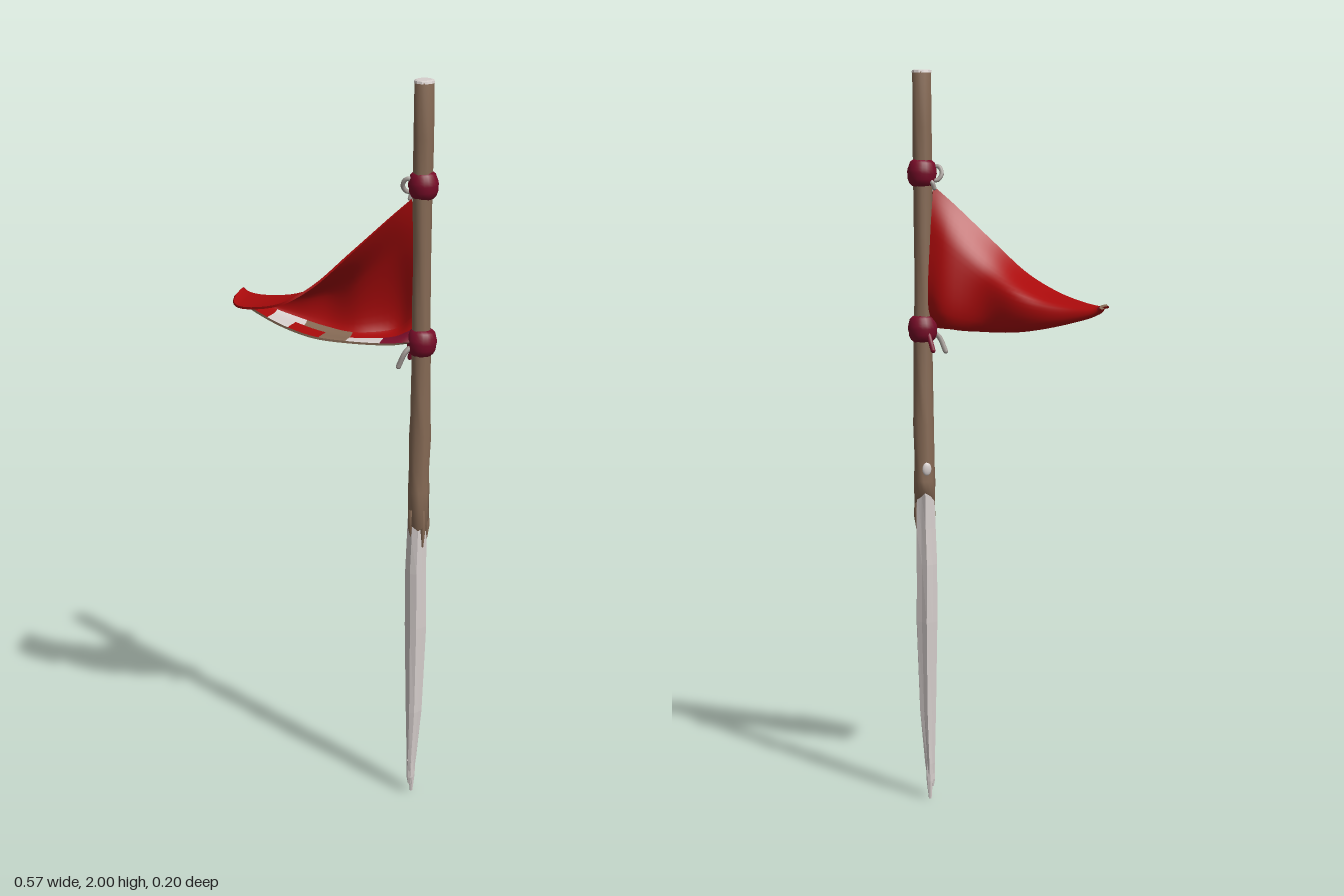
import * as THREE from 'three';

const mat = (name, color) =>
  Object.assign(new THREE.MeshStandardMaterial({ color, side: THREE.DoubleSide }), { name });

function build(pos, idx) {
  const g = new THREE.BufferGeometry();
  g.setAttribute('position', new THREE.Float32BufferAttribute(pos, 3));
  g.setIndex(idx);
  g.computeVertexNormals();
  return g;
}

// Skin through elliptical rings [y, x, z, rx, rz] listed from top to bottom
function loft(rings, sides, factor = () => 1, flat = false) {
  const pos = [], idx = [];
  rings.forEach(([y, x, z, rx, rz], i) => {
    for (let j = 0; j < sides; j++) {
      const a = (j / sides) * Math.PI * 2, f = factor(j, i);
      pos.push(x + Math.cos(a) * rx * f, y, z + Math.sin(a) * rz * f);
    }
  });
  const last = rings.length - 1;
  for (let i = 0; i < last; i++) {
    for (let j = 0; j < sides; j++) {
      const a = i * sides + j, b = i * sides + (j + 1) % sides;
      idx.push(a, b, a + sides, b, b + sides, a + sides);
    }
  }
  [0, last].forEach((i) => {
    const c = pos.length / 3;
    pos.push(rings[i][1], rings[i][0], rings[i][2]);
    for (let j = 0; j < sides; j++) {
      const a = i * sides + j, b = i * sides + (j + 1) % sides;
      if (i === 0) idx.push(c, b, a); else idx.push(c, a, b);
    }
  });
  const g = build(pos, idx);
  if (!flat) return g;
  const faceted = g.toNonIndexed();
  faceted.computeVertexNormals();
  return faceted;
}

// Pennant sections from hoist to tip: x, then (y, z) of top edge, back, low back, bottom lip
const sections = [
  [0.219, 1.69, 0.035, 1.56, 0.012, 1.37, -0.005, 1.308, 0.045],
  [0.17, 1.645, 0.048, 1.53, 0.0, 1.328, -0.022, 1.304, 0.06],
  [0.06, 1.54, 0.064, 1.45, -0.012, 1.312, -0.005, 1.306, 0.076],
  [-0.03, 1.455, 0.082, 1.41, -0.045, 1.316, -0.03, 1.313, 0.08],
  [-0.11, 1.405, 0.098, 1.385, -0.054, 1.328, -0.052, 1.327, 0.06],
  [-0.19, 1.38, 0.074, 1.375, -0.064, 1.345, -0.068, 1.345, 0.02],
  [-0.25, 1.372, 0.045, 1.375, -0.081, 1.362, -0.085, 1.36, -0.025],
  [-0.27, 1.376, 0.022, 1.38, -0.089, 1.372, -0.092, 1.37, -0.045],
  [-0.279, 1.385, -0.02, 1.386, -0.093, 1.383, -0.098, 1.38, -0.06],
];
const NU = 50, NV = 25;
const quad = (a, w) => [a, a + w, a + 1, a + w, a + w + 1, a + 1];

// Mid surface of the pennant: NU steps from hoist to tip, NV from top to lip
function pennantGrid() {
  const edges = [1, 3, 5, 7].map((k) =>
    new THREE.CatmullRomCurve3(sections.map((s) => new THREE.Vector3(s[0], s[k], s[k + 1]))));
  const pos = [], idx = [];
  for (let i = 0; i <= NU; i++) {
    const section = new THREE.CatmullRomCurve3(edges.map((e) => e.getPoint(i / NU)));
    for (let j = 0; j <= NV; j++) {
      pos.push(...section.getPoint(j / NV).toArray());
      if (i < NU && j < NV) idx.push(...quad(i * (NV + 1) + j, NV + 1));
    }
  }
  return build(pos, idx);
}

export function createModel() {
  const model = new THREE.Group();
  const wood = mat('brown wood', 0x866a55);
  const pale = mat('pale cut wood', 0xd6cecc);
  const red = mat('red cloth', 0xa90a0b);
  const crimson = mat('crimson cord', 0x780c28);
  const grey = mat('grey string', 0xa39b96);
  const add = (name, geometry, material, parent = model) => {
    const m = new THREE.Mesh(geometry, material);
    m.name = name;
    parent.add(m);
    return m;
  };

  // Slightly crooked wooden pole, its lower end slanting down to the front
  const pole = loft([
    [1.994, 0.245, 0.02, 0.026, 0.028], [1.85, 0.245, 0.02, 0.026, 0.028],
    [1.7, 0.243, 0.02, 0.025, 0.027], [1.55, 0.244, 0.02, 0.024, 0.025],
    [1.4, 0.243, 0.019, 0.024, 0.025], [1.25, 0.244, 0.018, 0.025, 0.026],
    [1.15, 0.243, 0.016, 0.026, 0.027], [1.05, 0.243, 0.016, 0.029, 0.028],
    [0.95, 0.24, 0.014, 0.027, 0.028], [0.89, 0.24, 0.014, 0.028, 0.029],
    [0.825, 0.24, 0.014, 0.029, 0.031],
  ], 14, (j, i) => 1 + 0.05 * Math.sin(j * 2.7 + i * 1.9));
  const p = pole.attributes.position;
  for (let i = 0; i < p.count; i++) {
    if (p.getY(i) < 0.85) p.setY(i, p.getY(i) - 1.2 * (p.getZ(i) - 0.014) - 0.3 * (p.getX(i) - 0.24));
  }
  pole.computeVertexNormals();
  add('pole', pole, wood);
  add('poleTop', loft([
    [2.0, 0.245, 0.02, 0.021, 0.023], [1.998, 0.245, 0.02, 0.026, 0.028],
    [1.992, 0.245, 0.02, 0.0278, 0.0298],
  ], 12, undefined, true), pale);

  // Pale scar left by a branch on the rear of the pole
  const scar = add('branchScar', new THREE.SphereGeometry(0.014, 12, 8), pale);
  scar.position.set(0.226, 0.925, -0.009);
  scar.rotation.y = Math.PI / 6;
  scar.scale.set(0.9, 1.3, 0.4);

  // Whittled stake with grooves, ending in two splintered points
  const grooves = [1, 0.86, 1.04, 1, 0.72, 1.03, 0.95, 1.02, 0.78, 1];
  add('stake', loft([
    [0.9, 0.239, 0.014, 0.019, 0.019], [0.86, 0.238, 0.014, 0.024, 0.026],
    [0.76, 0.237, 0.014, 0.027, 0.029], [0.66, 0.234, 0.014, 0.029, 0.031],
    [0.5, 0.235, 0.013, 0.029, 0.031], [0.25, 0.233, 0.014, 0.022, 0.027],
    [0.1, 0.227, 0.014, 0.013, 0.022], [0.07, 0.226, 0.014, 0.01, 0.02],
  ], 10, (j, i) => grooves[j] + 0.03 * Math.sin(i * 2 + j), true), pale);
  [[0.026, 0.03, 0.008], [0.005, 0, 0.009]].forEach(([z, y, r]) =>
    add('stakePoint', loft([
      [0.1, 0.227, z, 0.01, r], [0.05, 0.226, z, 0.009, r], [y, 0.225, z, 0.004, 0.004],
    ], 6, undefined, true), pale));
  // Wood splinters reaching down over the cut
  [[0.256, 0.03, 0.735], [0.262, 0.012, 0.755], [0.224, 0.034, 0.765]].forEach(([x, z, y]) =>
    add('splinter', loft([
      [0.84, x, z, 0.007, 0.007], [0.79, x, z, 0.008, 0.008], [y, x, z, 0.002, 0.002],
    ], 6), wood));

  // Rounded cord knots with faint windings
  const profile = [[0, -0.036], [0.024, -0.036], [0.033, -0.028], [0.038, -0.016], [0.038, -0.007],
    [0.04, 0], [0.039, 0.009], [0.037, 0.016], [0.033, 0.029], [0.024, 0.036], [0, 0.036]];
  ['lowerKnot', 'upperKnot'].forEach((name, k) => {
    const knot = add(name, new THREE.LatheGeometry(profile.map((q) => new THREE.Vector2(...q)), 20), crimson);
    knot.position.set(0.245, k ? 1.725 : 1.305, 0.018);
    knot.rotation.z = k ? 0.06 : -0.06;
  });

  // Loose string ends beside the knots, rounded off at both ends
  const string = (name, points, material = grey, r = 0.006) => {
    const part = new THREE.Group();
    part.name = name;
    const path = points.map((q) => new THREE.Vector3(...q));
    add('strand', new THREE.TubeGeometry(new THREE.CatmullRomCurve3(path), 14, r, 8), material, part);
    [path[0], path[path.length - 1]].forEach((end) =>
      add('strandEnd', new THREE.SphereGeometry(r, 8, 6), material, part).position.copy(end));
    model.add(part);
  };
  string('upperLoop', [[0.225, 1.74, 0.03], [0.203, 1.742, 0.035], [0.193, 1.722, 0.03], [0.205, 1.705, 0.02], [0.225, 1.715, 0.015]]);
  string('upperTail', [[0.225, 1.71, 0.01], [0.212, 1.7, 0.005], [0.207, 1.685, 0.008]]);
  string('lowerTail', [[0.225, 1.3, 0.035], [0.207, 1.28, 0.048], [0.19, 1.242, 0.05]], grey, 0.007);
  string('lowerBackTail', [[0.225, 1.3, 0.0], [0.212, 1.27, -0.012], [0.205, 1.25, -0.016]], crimson, 0.007);

  // Pennant as a thin slab: side +1 is the inner face, -1 the outer face
  const flag = new THREE.Group();
  flag.name = 'pennant';
  model.add(flag);
  const { position, normal } = pennantGrid().attributes;
  const at = (i, j, side) => {
    const k = i * (NV + 1) + j;
    return new THREE.Vector3().fromBufferAttribute(position, k)
      .addScaledVector(new THREE.Vector3().fromBufferAttribute(normal, k), side * 0.003).toArray();
  };
  const patch = (name, side, i0, i1, j0, j1, material) => {
    const pos = [], idx = [], w = j1 - j0 + 1;
    for (let i = i0; i <= i1; i++) {
      for (let j = j0; j <= j1; j++) {
        pos.push(...at(i, j, side));
        if (i < i1 && j < j1) idx.push(...quad((i - i0) * w + j - j0, w));
      }
    }
    add(name, build(pos, side > 0 ? idx : idx.reverse()), material, flag);
  };
  const rim = (name, steps, cell, material) => {
    const pos = [], idx = [];
    for (let s = 0; s <= steps; s++) {
      pos.push(...at(...cell(s), 1), ...at(...cell(s), -1));
      if (s < steps) idx.push(...quad(s * 2, 2));
    }
    add(name, build(pos, idx), material, flag);
  };
  // Outer face with a dark worn corner at the tip
  patch('outerFace', -1, 0, 44, 0, NV, red);
  patch('outerTip', -1, 44, NU, 0, 8, red);
  patch('outerTip', -1, 44, NU, 12, NV, red);
  patch('wornCorner', -1, 44, NU, 8, 12, crimson);
  // Inner face with worn patches along the lip
  patch('innerFace', 1, 0, NU, 0, 17, red);
  [
    [0, 13, 17, 21, red], [0, 8, 21, NV, crimson], [8, 13, 21, NV, pale], [13, 18, 17, NV, wood],
    [18, 23, 17, 20, wood], [23, 25, 17, 20, pale], [18, 25, 20, NV, red], [25, 30, 17, NV, pale],
    [30, NU, 17, NV, red],
  ].forEach(([i0, i1, j0, j1, m]) => patch('lipPatch', 1, i0, i1, j0, j1, m));
  // Edges of the cloth
  rim('topRim', NU, (s) => [s, 0], red);
  rim('hoistRim', NV, (s) => [0, s], red);
  rim('lipRim', NU, (s) => [s, NV], wood);
  rim('tipRim', NV, (s) => [NU, s], wood);

  return model;
}
